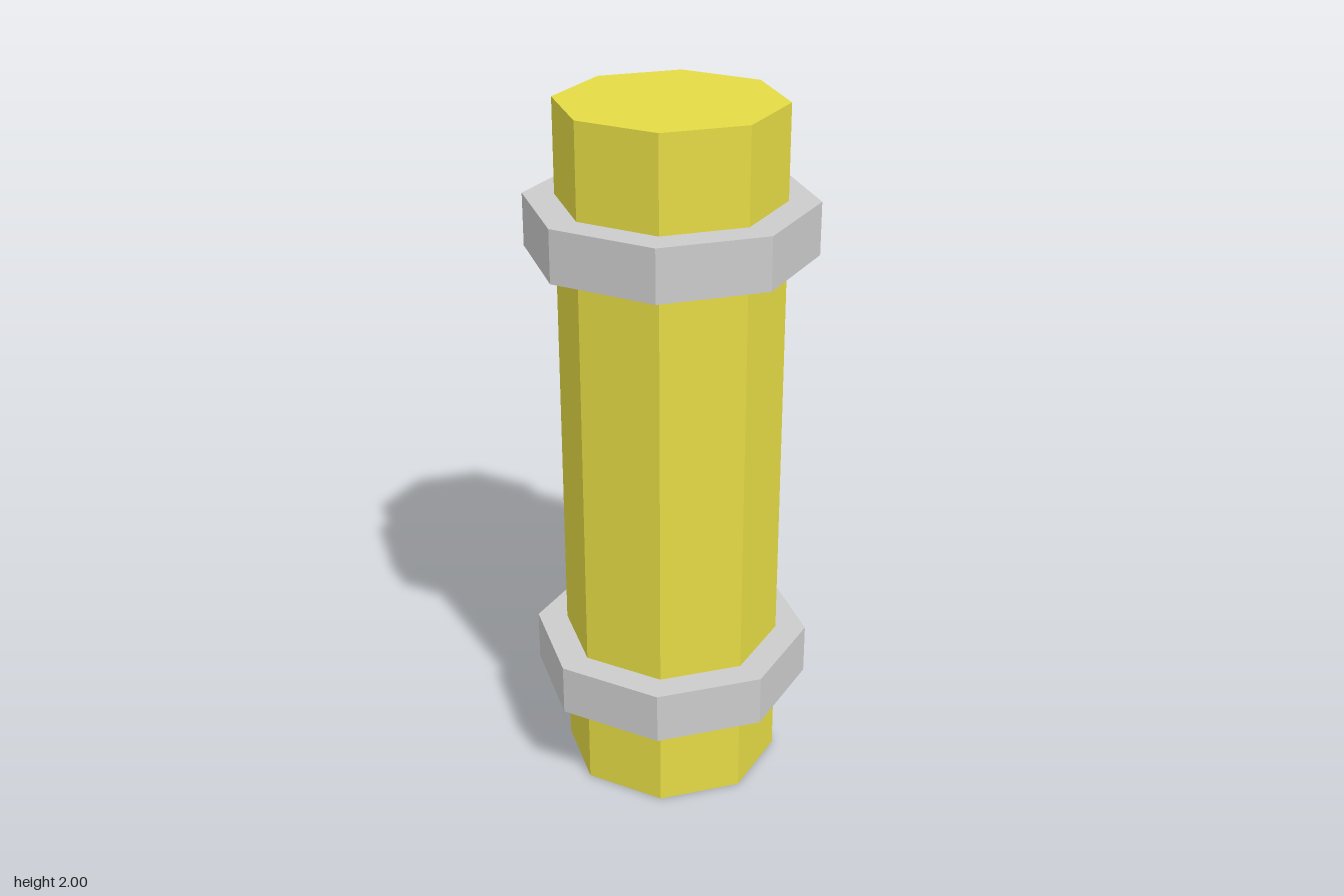
import * as THREE from 'three';

const SIDES = 8;

// Upright octagonal prism centred at height y
function prism(name, radius, height, y, material) {
  const mesh = new THREE.Mesh(new THREE.CylinderGeometry(radius, radius, height, SIDES), material);
  mesh.name = name;
  mesh.position.y = y;
  return mesh;
}

export function createModel() {
  const model = new THREE.Group();
  model.name = 'bandedPipe';
  const yellow = new THREE.MeshStandardMaterial({ color: 0xe5db45, flatShading: true });
  const grey = new THREE.MeshStandardMaterial({ color: 0xcccccc, flatShading: true });

  // Main pipe, capped at both ends
  model.add(prism('pipe', 0.3125, 2, 1, yellow));

  // Collars around the pipe near each end
  model.add(prism('lowerCollar', 0.4, 0.148, 0.344, grey));
  model.add(prism('upperCollar', 0.4, 0.148, 1.663, grey));

  return model;
}
